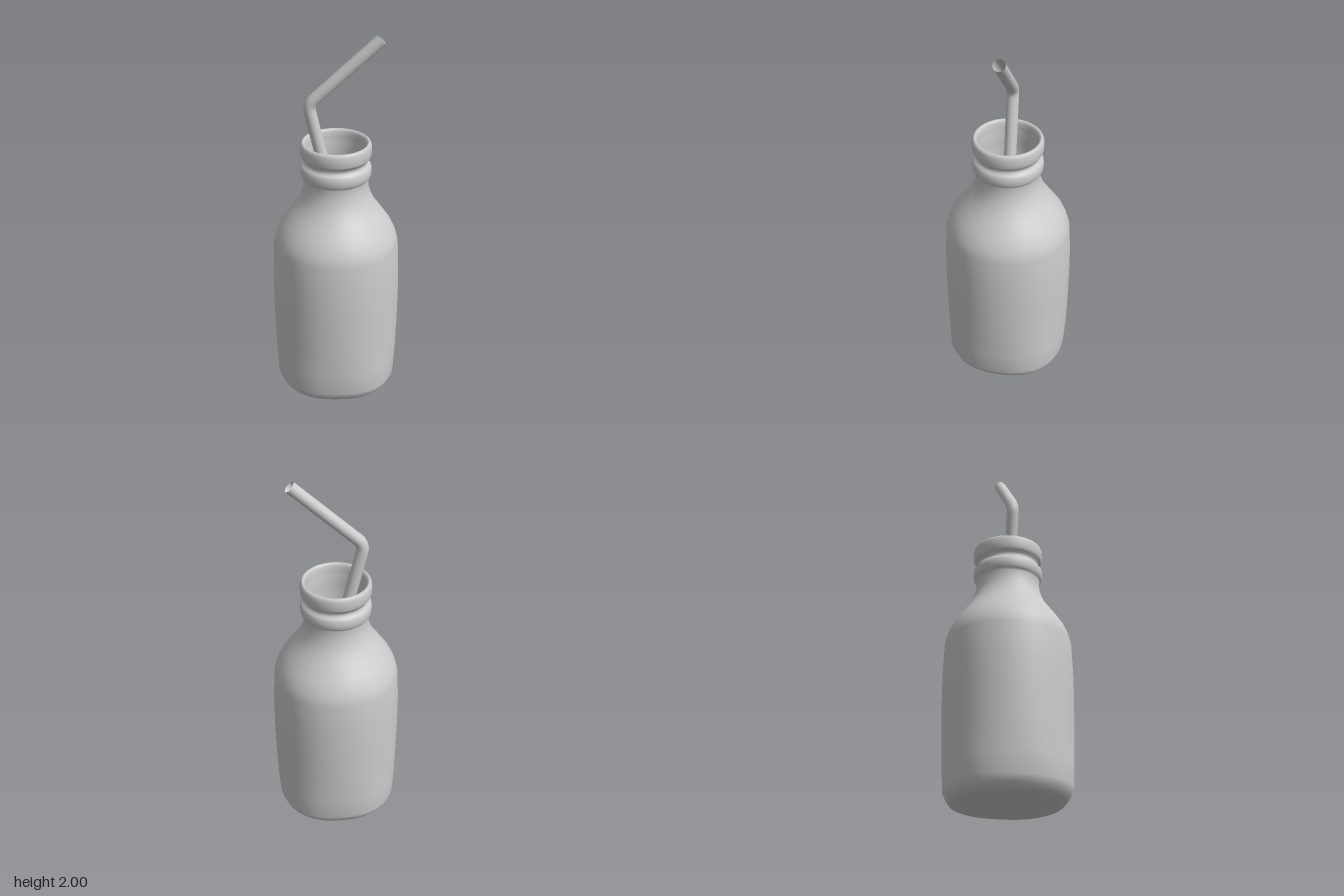
import * as THREE from 'three';
import { mergeVertices } from 'three/addons/utils/BufferGeometryUtils.js';

const grey = () => new THREE.MeshStandardMaterial({ color: 0xcccccc, side: THREE.DoubleSide });

// Outer profile from the base up to the lip: [radius, height]
const outer = [
  [0, 0.012], [0.22, 0.012], [0.262, 0.01], [0.287, 0.02], [0.305, 0.042], [0.323, 0.08],
  [0.331, 0.2], [0.337, 0.36], [0.34, 0.55], [0.339, 0.7], [0.332, 0.87], [0.318, 0.92],
  [0.298, 0.965], [0.272, 1.005], [0.237, 1.055], [0.205, 1.1], [0.184, 1.145],
  [0.171, 1.19], [0.168, 1.24],
  // lower ring
  [0.176, 1.25], [0.184, 1.262], [0.186, 1.285], [0.184, 1.308], [0.176, 1.319],
  // groove
  [0.166, 1.327], [0.163, 1.338], [0.166, 1.35],
  // lip
  [0.177, 1.36], [0.184, 1.373], [0.186, 1.4], [0.185, 1.425], [0.18, 1.438], [0.172, 1.444],
];

// Inner wall from the lip down to the floor
const inner = [
  [0.164, 1.44], [0.158, 1.428], [0.157, 1.4], [0.157, 1.37], [0.153, 1.338],
  [0.157, 1.3], [0.156, 1.25], [0.153, 1.19], [0.167, 1.145], [0.188, 1.1],
  [0.255, 1.005], [0.3, 0.92], [0.315, 0.87], [0.322, 0.6], [0.315, 0.2],
  [0.305, 0.08], [0.27, 0.04], [0, 0.032],
];

// Turned profile whose round section grows squarer towards the base
function bottleGeometry() {
  const points = [...outer, ...inner].map(([r, y]) => new THREE.Vector2(r, y));
  let geo = new THREE.LatheGeometry(points, 64);
  const pos = geo.attributes.position;
  for (let i = 0; i < pos.count; i++) {
    const x = pos.getX(i), y = pos.getY(i), z = pos.getZ(i);
    const r = Math.hypot(x, z);
    if (r < 1e-5) continue;
    const low = 1 - THREE.MathUtils.smoothstep(y, 0.02, 0.35);
    const body = 1 - THREE.MathUtils.smoothstep(y, 0.85, 1.1);
    const n = 2 + 0.05 * body + 0.35 * low;
    const k = Math.pow(Math.abs(x / r) ** n + Math.abs(z / r) ** n, -1 / n);
    pos.setXYZ(i, x * k, y, z * k);
  }
  geo.deleteAttribute('uv');
  geo.deleteAttribute('normal');
  geo = mergeVertices(geo, 1e-5);
  geo.computeVertexNormals();
  return geo;
}

// Bent drinking straw: two straight runs joined by a tight elbow
function strawGeometry() {
  const foot = new THREE.Vector3(0.225, 0.07, 0);
  const bend = new THREE.Vector3(-0.142, 1.635, 0);
  const tip = new THREE.Vector3(0.225, 1.977, 0);
  const toward = (end, d) => bend.clone().add(end.clone().sub(bend).setLength(d));
  const a = toward(foot, 0.045), b = toward(tip, 0.045);
  const path = new THREE.CurvePath();
  path.add(new THREE.LineCurve3(foot, a));
  path.add(new THREE.QuadraticBezierCurve3(a, bend, b));
  path.add(new THREE.LineCurve3(b, tip));
  return new THREE.TubeGeometry(path, 160, 0.032, 24, false);
}

export function createModel() {
  const model = new THREE.Group();
  model.name = 'bottleWithStraw';

  const bottle = new THREE.Mesh(bottleGeometry(), grey());
  bottle.name = 'bottle';
  const straw = new THREE.Mesh(strawGeometry(), grey());
  straw.name = 'straw';

  model.add(bottle, straw);
  // stand the base on the ground
  bottle.position.y = -0.01;
  return model;
}
